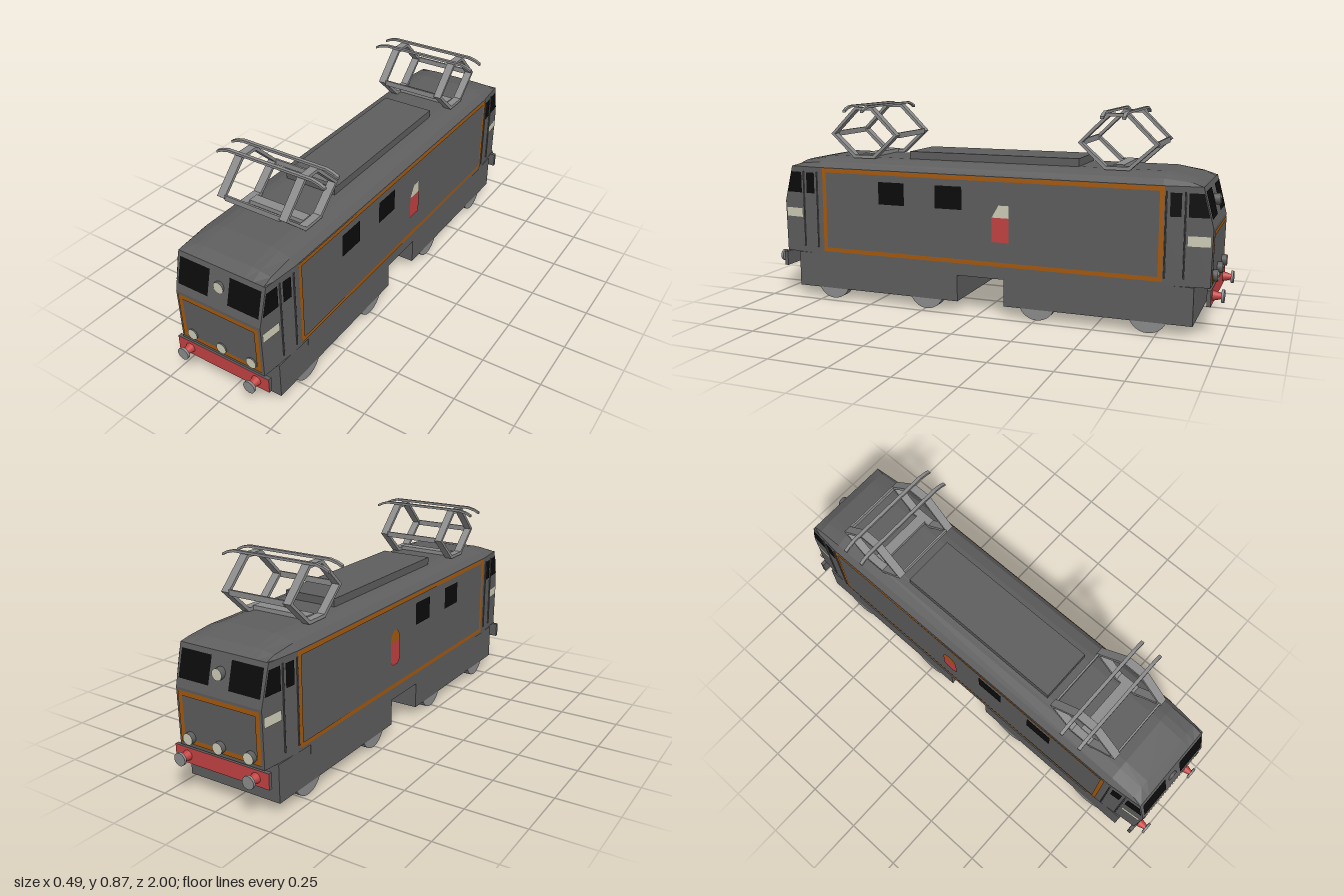
import * as THREE from 'three';

const mat = (name, color) => {
  const m = new THREE.MeshStandardMaterial({ color, side: THREE.DoubleSide });
  m.name = name;
  return m;
};

export function createModel() {
  const root = new THREE.Group();
  root.name = 'electricLocomotive';
  const grey = mat('body grey', 0x5e5e5e);
  const steel = mat('light steel', 0x8c8c8c);
  const red = mat('red', 0xc44242);
  const orange = mat('orange lining', 0xa65a0e);
  const cream = mat('cream', 0xcfcdb8);
  const black = mat('window black', 0x0b0b0b);

  const add = (name, geo, material, parent = root) => {
    const m = new THREE.Mesh(geo, material);
    m.name = name;
    parent.add(m);
  };
  const box = (name, x0, x1, y0, y1, z0, z1, material, parent) =>
    add(name, new THREE.BoxGeometry(x1 - x0, y1 - y0, z1 - z0)
      .translate((x0 + x1) / 2, (y0 + y1) / 2, (z0 + z1) / 2), material, parent);
  const poly = (pts) => new THREE.Shape(pts.map(p => new THREE.Vector2(...p)));
  const rect = (u0, u1, v0, v1) => poly([[u0, v0], [u1, v0], [u1, v1], [u0, v1]]);
  const frame = (u0, u1, v0, v1, t) => {
    const s = rect(u0, u1, v0, v1);
    s.holes.push(rect(u0 + t, u1 - t, v0 + t, v1 - t));
    return s;
  };
  // Lays a flat shape onto the body surface through a mapping (u, v) -> [x, y, z]
  const panel = (name, shape, map, material, parent) => {
    const g = new THREE.ShapeGeometry(shape, 16), p = g.attributes.position;
    for (let i = 0; i < p.count; i++) p.setXYZ(i, ...map(p.getX(i), p.getY(i)));
    g.computeVertexNormals();
    add(name, g, material, parent);
  };

  // Body surface rules: half width along z, and end face position by height
  const halfWidth = z => 0.215 - 0.018 * Math.max(0, Math.abs(z) - 0.76) / 0.19;
  const endZ = y => y < 0.43 ? 0.95 + 0.004 * (y - 0.2) / 0.23 : 0.954 - 0.042 * (y - 0.43) / 0.16;

  // Body shell lofted through six cross-sections
  const section = (roof, zOf) => {
    const half = [[0, 0.2], [0, 0.43], [0, 0.59], [0.192, roof[0]], [0.145, roof[1]], [0.11, roof[2]]]
      .map(([x, y], i) => { const z = zOf(y); return [i < 3 ? halfWidth(z) : x, y, z]; });
    return [...half, ...half.slice().reverse().map(([x, y, z]) => [-x, y, z])];
  };
  const crown = [0.614, 0.63, 0.635], dip = [0.603, 0.612, 0.615], flat = [0.59, 0.59, 0.59];
  const stations = [
    section(flat, y => -endZ(y)), section(dip, () => -0.87), section(crown, () => -0.76),
    section(crown, () => 0.76), section(dip, () => 0.87), section(flat, endZ),
  ];
  const n = 12, index = [], last = 5 * n;
  for (let s = 0; s < 5; s++) for (let i = 0; i < n; i++) {
    const a = s * n + i, b = s * n + (i + 1) % n;
    index.push(a, b, b + n, a, b + n, a + n);
  }
  // End faces
  for (let i = 0; i < 2; i++) {
    const [a, b, c, d] = [i, i + 1, n - 2 - i, n - 1 - i];
    index.push(last + a, last + b, last + c, last + a, last + c, last + d);
    index.push(a, c, b, a, d, c);
  }
  const shell = new THREE.BufferGeometry();
  shell.setAttribute('position', new THREE.Float32BufferAttribute(stations.flat(2), 3));
  shell.setIndex(index);
  const shellFlat = shell.toNonIndexed();
  shellFlat.computeVertexNormals();
  add('bodyShell', shellFlat, grey);
  box('roofHatch', -0.118, 0.114, 0.63, 0.667, -0.4, 0.362, grey);

  // Underframe, bogies and wheels
  box('underframe', -0.213, 0.213, 0.16, 0.201, -0.7, 0.7, grey);
  box('frontBogie', -0.211, 0.211, 0.045, 0.2, 0.1, 0.88, grey);
  box('rearBogie', -0.211, 0.211, 0.045, 0.2, -0.89, -0.11, grey);
  for (const z of [0.705, 0.245, -0.255, -0.715]) for (const s of [-1, 1])
    add('wheel', new THREE.CylinderGeometry(0.08, 0.08, 0.04, 32).rotateZ(Math.PI / 2)
      .translate(s * 0.19, 0.08, z), steel);

  // Side details
  for (const s of [-1, 1]) {
    const side = new THREE.Group();
    side.name = s > 0 ? 'leftSide' : 'rightSide';
    root.add(side);
    const onSide = (z, y) => [s * (halfWidth(z) + 0.003), y, z];
    panel('sideLining', frame(-0.768, 0.745, 0.214, 0.588, 0.018), onSide, orange, side);
    panel('sideWindow', rect(0.343, 0.466, 0.443, 0.541), onSide, black, side);
    panel('sideWindow', rect(0.075, 0.198, 0.443, 0.541), onSide, black, side);
    // Emblem: slanted top on one side, rounded on the other
    if (s > 0) {
      panel('emblemBase', rect(-0.134, -0.06, 0.317, 0.42), onSide, red, side);
      panel('emblemTop', poly([[-0.134, 0.42], [-0.06, 0.42], [-0.09, 0.472], [-0.134, 0.472]]), onSide, cream, side);
    } else {
      const top = new THREE.Shape().absellipse(-0.097, 0.42, 0.037, 0.052, 0, Math.PI);
      const base = poly([[-0.134, 0.42], [-0.134, 0.335], [-0.115, 0.317], [-0.079, 0.317], [-0.06, 0.335], [-0.06, 0.42]]);
      panel('emblemBase', base, onSide, red, side);
      panel('emblemTop', top, onSide, orange, side);
    }
    // Cab side windows, pale patches and door handrails
    for (const e of [-1, 1]) {
      const onCab = (z, y) => onSide(e * z, y);
      panel('cabSideWindow', poly([[0.86, 0.472], [0.94, 0.472], [0.916, 0.565], [0.86, 0.565]]), onCab, black, side);
      panel('cabDoorWindow', rect(0.79, 0.833, 0.472, 0.565), onCab, black, side);
      panel('cabPatch', rect(0.86, 0.945, 0.36, 0.4), onCab, cream, side);
      for (const z of [0.775, 0.848])
        add('handrail', new THREE.CylinderGeometry(0.003, 0.003, 0.34, 8)
          .translate(s * (halfWidth(z) + 0.004), 0.4, e * z), grey, side);
    }
  }

  // Cab ends: the rear one is the front turned round, with deeper lamps
  for (const front of [true, false]) {
    const end = new THREE.Group();
    end.name = front ? 'frontEnd' : 'rearEnd';
    end.rotation.y = front ? 0 : Math.PI;
    root.add(end);
    const onEnd = (x, y) => [x, y, endZ(y) + 0.003];
    panel('endLining', frame(-0.187, 0.187, 0.214, 0.421, 0.019), onEnd, orange, end);
    for (const x of [-0.187, 0.046])
      panel('windscreen', rect(x, x + 0.141, 0.465, 0.572), onEnd, black, end);
    const depth = front ? 0.012 : 0.03;
    for (const [x, y] of [[0, 0.517], [-0.141, 0.24], [0, 0.24], [0.141, 0.24]])
      add('headlamp', new THREE.CylinderGeometry(0.023, 0.023, depth, 24).rotateX(Math.PI / 2)
        .translate(x, y, endZ(y) + (front ? 0 : 0.006)), [grey, cream, grey], end);
    // Bumper beam with painted outer face, and round bumpers
    box('bumperBeam', -0.219, 0.219, 0.133, 0.197, 0.94, 0.956, [grey, grey, grey, grey, red, grey], end);
    for (const s of [-1, 1]) {
      add('bumperShank', new THREE.CylinderGeometry(0.011, 0.021, 0.036, 20).rotateX(Math.PI / 2)
        .translate(s * 0.16, 0.165, 0.973), red, end);
      add('bumperHead', new THREE.CylinderGeometry(0.026, 0.026, 0.01, 24).rotateX(Math.PI / 2)
        .translate(s * 0.16, 0.165, 0.995), steel, end);
    }
  }

  // Pantographs: two diamond frames, cross bars and two drooping contact bars
  const diamond = (top, wide, base, yTop, yBase) => poly([
    [top, yTop], [wide, 0.737], [base, yBase], [-base, yBase], [-wide, 0.737], [-top, yTop]]);
  const arch = [[0.245, 0.848], [0.222, 0.859], [0.19, 0.867]];
  const mirror = pts => pts.map(([x, y]) => [-x, y]);
  const under = arch.map(([x, y]) => [x, y - 0.01]);
  const contact = poly([...under.slice().reverse(), ...arch, ...mirror(arch).reverse(), ...mirror(under)]);
  for (const zc of [0.565, -0.567]) {
    const p = new THREE.Group();
    p.name = 'pantograph';
    p.position.z = zc;
    root.add(p);
    for (const x of [-0.159, 0.125]) {
      const d = diamond(0.042, 0.162, 0.05, 0.856, 0.633);
      d.holes.push(diamond(0.036, 0.145, 0.044, 0.843, 0.647));
      add('diamondArms', new THREE.ExtrudeGeometry(d, { depth: 0.034, bevelEnabled: false })
        .rotateY(Math.PI / 2).translate(x, 0, 0), steel, p);
    }
    box('baseBar', -0.127, 0.127, 0.633, 0.652, -0.022, 0.022, steel, p);
    for (const s of [-1, 1]) {
      box('elbowBar', -0.127, 0.127, 0.724, 0.747, s * 0.153 - 0.004, s * 0.153 + 0.004, steel, p);
      add('contactBar', new THREE.ExtrudeGeometry(contact, { depth: 0.014, bevelEnabled: false })
        .translate(0, 0, s * 0.043 - 0.007), steel, p);
    }
  }
  return root;
}
